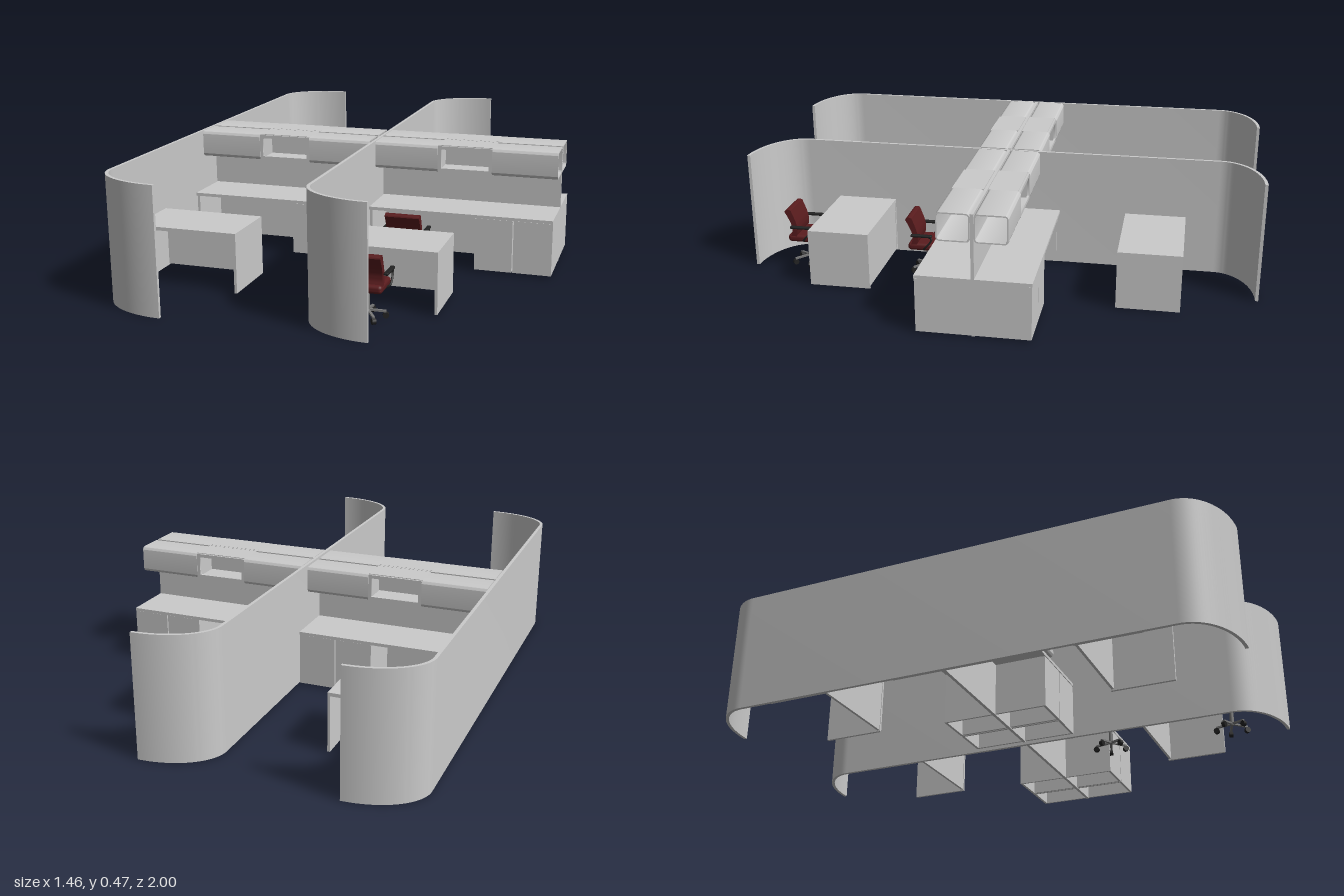
import * as THREE from 'three';
import { toCreasedNormals } from 'three/addons/utils/BufferGeometryUtils.js';
import { RoundedBoxGeometry } from 'three/addons/geometries/RoundedBoxGeometry.js';

const grey = new THREE.MeshStandardMaterial({ color: 0xcccccc, side: THREE.DoubleSide });
const red = new THREE.MeshStandardMaterial({ color: 0x5a1c1e });
const black = new THREE.MeshStandardMaterial({ color: 0x222222 });
const metal = new THREE.MeshStandardMaterial({ color: 0x777777 });

function add(parent, name, geometry, material = grey) {
  const mesh = new THREE.Mesh(geometry, material);
  mesh.name = name;
  parent.add(mesh);
  return mesh;
}

// Box given by its limits on each axis
function box(parent, name, [x0, x1], [y0, y1], [z0, z1], material = grey) {
  const g = new THREE.BoxGeometry(x1 - x0, y1 - y0, Math.abs(z1 - z0));
  g.translate((x0 + x1) / 2, (y0 + y1) / 2, (z0 + z1) / 2);
  return add(parent, name, g, material);
}

function extrude(shape, depth) {
  return toCreasedNormals(new THREE.ExtrudeGeometry(shape,
    { depth, bevelEnabled: false, curveSegments: 16 }), 0.6);
}

// Shape drawn in (-z, y), swept from x0 to x1
function extrudeX(shape, x0, x1) {
  return extrude(shape, x1 - x0).rotateY(Math.PI / 2).translate(x0, 0, 0);
}

function roundRect(path, w, h, r) {
  const x = w / 2 - r, y = h / 2 - r, q = Math.PI / 2;
  [[x, y], [-x, y], [-x, -y], [x, -y]].forEach(([cx, cy], i) =>
    path.absarc(cx, cy, r, i * q, (i + 1) * q, false));
  path.closePath();
  return path;
}

// Tall partition with both ends curling round
function partition(parent) {
  const P = Math.PI, t = 0.012, cx = 0.255, cz = 0.83, rx = 0.255, rz = 0.168;
  const s = new THREE.Shape();
  s.absellipse(cx, cz, rx, rz, P / 2, P, false);
  s.absellipse(cx, -cz, rx, rz, P, 1.5 * P, false);
  s.absellipse(cx, -cz, rx - t, rz - t, 1.5 * P, P, true);
  s.absellipse(cx, cz, rx - t, rz - t, P, P / 2, true);
  s.closePath();
  add(parent, 'partitionWall', extrude(s, 0.465).rotateX(-P / 2));
}

// Small desk: top, two end panels and a full-height modesty panel
function sideDesk(parent, s) {
  const desk = new THREE.Group();
  desk.name = 'sideDesk';
  box(desk, 'deskTop', [0.015, 0.412], [0.215, 0.228], [s * 0.472, s * 0.71]);
  for (const x of [0.015, 0.402])
    box(desk, 'endPanel', [x, x + 0.01], [0.005, 0.215], [s * 0.472, s * 0.71]);
  box(desk, 'modestyPanel', [0.025, 0.402], [0.01, 0.215], [s * 0.474, s * 0.484]);
  parent.add(desk);
}

// Long desk beside the spine, with two pedestals open underneath
function mainDesk(parent, s) {
  const desk = new THREE.Group();
  desk.name = 'mainDesk';
  box(desk, 'worktop', [0.015, 0.727], [0.212, 0.224], [s * 0.005, s * 0.21]);
  box(desk, 'wallPanel', [0.015, 0.025], [0.005, 0.212], [s * 0.006, s * 0.2]);
  for (const [a, b] of [[0.433, 0.577], [0.581, 0.727]]) {
    box(desk, 'pedestalFront', [a, b], [0.008, 0.211], [s * 0.198, s * 0.208]);
    for (const x of [a, b - 0.008])
      box(desk, 'pedestalSide', [x, x + 0.008], [0.008, 0.212], [s * 0.006, s * 0.198]);
  }
  parent.add(desk);
}

// Overhead bin: two open-ended rounded shells with a framed cubby between
function overheadBin(parent, s) {
  const bin = new THREE.Group();
  bin.name = 'overheadBin';
  const w = 0.12, h = 0.105, t = 0.005, y = 0.4125, z = s * 0.067;
  const ring = roundRect(new THREE.Shape(), w, h, 0.014);
  ring.holes.push(roundRect(new THREE.Path(), w - 2 * t, h - 2 * t, 0.009));
  for (const [a, b] of [[0.015, 0.265], [0.477, 0.727]])
    add(bin, 'binShell', extrudeX(ring, a, b)).position.set(0, y, z);
  for (const y0 of [0.36, 0.46])
    box(bin, 'cubbyShelf', [0.265, 0.477], [y0, y0 + t], [s * 0.008, s * 0.117]);
  for (const x of [0.265, 0.472])
    box(bin, 'cubbySide', [x, x + t], [0.363, 0.462], [s * 0.01, s * 0.12]);
  const frame = roundRect(new THREE.Shape(), 0.212, 0.1, 0.003);
  frame.holes.push(roundRect(new THREE.Path(), 0.186, 0.074, 0.002));
  add(bin, 'cubbyFrame', extrude(frame, 0.008)).position.set(0.371, y, s * 0.121 - 0.004);
  parent.add(bin);
}

// Swivel chair facing -z
function chair() {
  const g = new THREE.Group();
  g.name = 'officeChair';
  add(g, 'seat', new RoundedBoxGeometry(0.136, 0.03, 0.118, 3, 0.012), red).position.set(0, 0.125, 0.005);
  const back = new THREE.Shape();
  back.moveTo(-0.062, 0.122);
  back.bezierCurveTo(-0.03, 0.155, -0.045, 0.19, -0.072, 0.236);
  back.quadraticCurveTo(-0.068, 0.252, -0.046, 0.244);
  back.bezierCurveTo(-0.03, 0.2, -0.012, 0.17, -0.03, 0.128);
  back.closePath();
  add(g, 'backrest', extrudeX(back, -0.066, 0.066), red);
  for (const s of [-1, 1]) {
    const path = new THREE.CatmullRomCurve3([[0.062, 0.115, 0.0], [0.078, 0.125, -0.005],
      [0.078, 0.165, -0.035], [0.078, 0.176, -0.02], [0.078, 0.178, 0.045]]
      .map(([x, y, z]) => new THREE.Vector3(s * x, y, z)));
    add(g, 'armSupport', new THREE.TubeGeometry(path, 20, 0.004, 6), black);
    add(g, 'armPad', new RoundedBoxGeometry(0.017, 0.01, 0.085, 2, 0.004), black)
      .position.set(s * 0.078, 0.178, 0.005);
  }
  add(g, 'seatPlate', new THREE.CylinderGeometry(0.03, 0.014, 0.014, 12), black).position.y = 0.104;
  add(g, 'gasLift', new THREE.CylinderGeometry(0.007, 0.009, 0.08, 12), metal).position.y = 0.066;
  for (let i = 0; i < 5; i++) {
    const leg = new THREE.Group();
    leg.name = 'baseLeg';
    leg.rotation.y = i * Math.PI * 0.4 + Math.PI / 2;
    const arm = add(leg, 'legArm', new THREE.BoxGeometry(0.064, 0.007, 0.009), metal);
    arm.position.set(0.032, 0.028, 0);
    arm.rotation.z = -0.12;
    const wheel = add(leg, 'caster', new THREE.CylinderGeometry(0.011, 0.011, 0.014, 12), black);
    wheel.rotation.x = Math.PI / 2;
    wheel.position.set(0.062, 0.011, 0);
    g.add(leg);
  }
  return g;
}

// One bay: partition, spine screen and furniture on both sides of it
function workstation() {
  const g = new THREE.Group();
  g.name = 'workstation';
  partition(g);
  box(g, 'spineScreen', [0.012, 0.727], [0.005, 0.465], [-0.006, 0.006]);
  for (const s of [-1, 1]) {
    sideDesk(g, s);
    mainDesk(g, s);
    overheadBin(g, s);
  }
  return g;
}

export function createModel() {
  const model = new THREE.Group();
  model.name = 'officeCubicles';
  for (const x of [-0.733, 0.005]) {
    const bay = workstation();
    bay.position.x = x;
    model.add(bay);
  }
  for (const z of [0.295, 0.79]) {
    const c = chair();
    c.position.set(0.195, 0, z);
    model.add(c);
  }
  return model;
}
